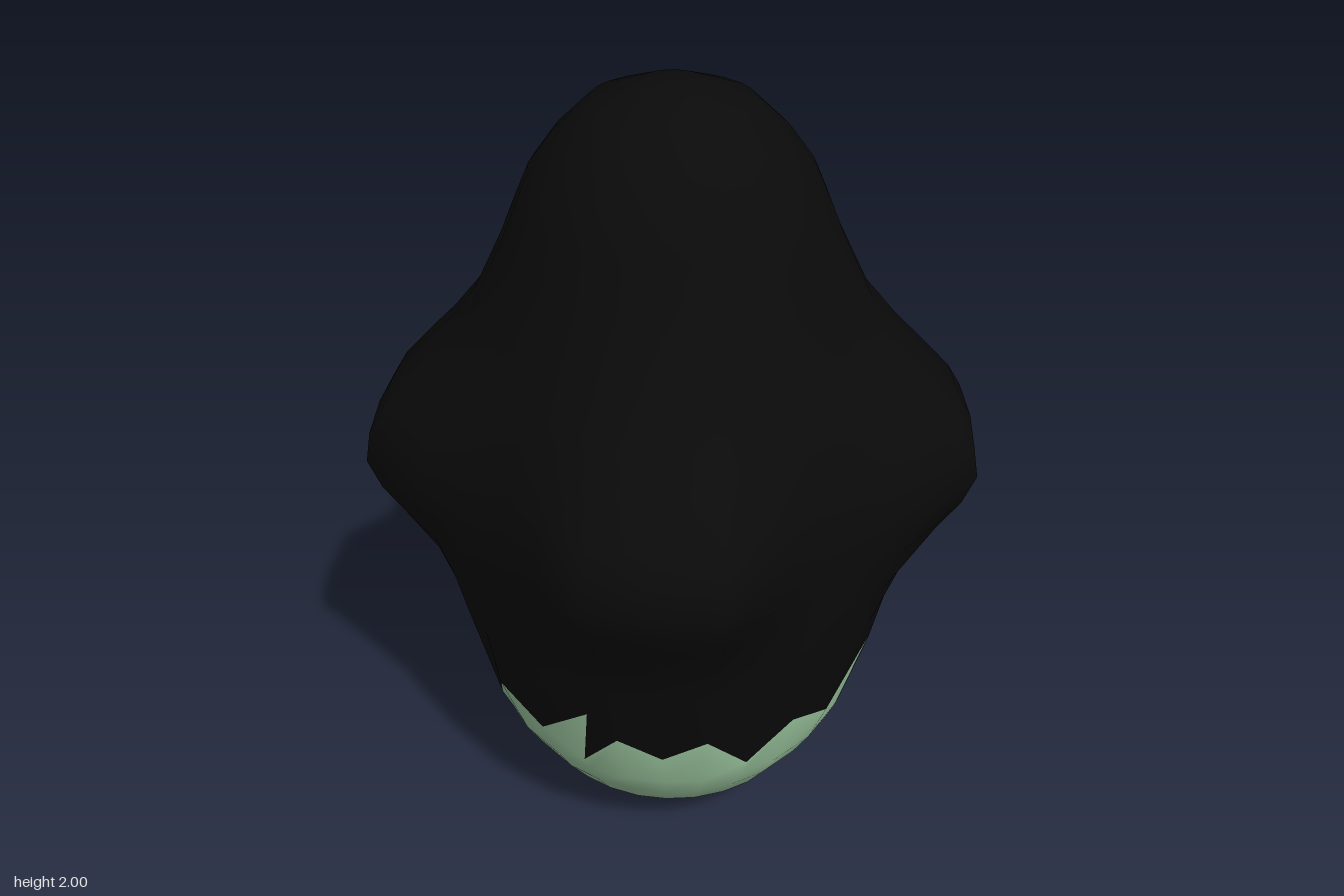
import * as THREE from 'three';
import { mergeVertices } from 'three/addons/utils/BufferGeometryUtils.js';

// Egg profile: [height, radius]
const PROFILE = [
  [0, 0], [0.004, 0.08], [0.04, 0.175], [0.09, 0.27], [0.165, 0.36], [0.25, 0.42], [0.33, 0.466],
  [0.42, 0.505], [0.52, 0.533], [0.6, 0.548], [0.7, 0.562], [0.8, 0.575], [0.92, 0.588], [1.0, 0.592],
  [1.08, 0.59], [1.16, 0.575], [1.22, 0.56], [1.3, 0.532], [1.38, 0.5], [1.48, 0.455], [1.63, 0.4],
  [1.72, 0.365], [1.8, 0.33], [1.88, 0.27], [1.955, 0.19], [1.996, 0.075], [2, 0]];
// Corner bump: [degrees from the diagonal, extra radius]
const BUMP = [[0, 0.17], [12, 0.178], [22, 0.1], [27, 0.047], [37, 0.005], [45, 0]];

const BAND_LOW = 0.33, BAND_HIGH = 0.7;

// Jagged rim height at each column, going round from -82 degrees.
// A tooth that leans is given as [tip angle, tip height, notch angle, notch height].
const RIM = [
  0.455, [-64.4, 0.6, -69.5, 0.38], 0.52, 0.455, 0.52, 0.39, 0.52,
  0.455, [25.6, 0.6, 20.5, 0.38], 0.52, 0.455, 0.52, 0.39, 0.52,
  0.455, 0.455, 0.5, 0.455, 0.5, [154.5, 0.6, 159.5, 0.38], 0.455,
  0.455, 0.39, 0.52, 0.455, 0.52, 0.39, 0.52];
const STEPS = [8, 20, 33, 45, 57, 70, 82];

function lookup(table, v) {
  for (let i = 1; i < table.length; i++) {
    const [a, ra] = table[i - 1], [b, rb] = table[i];
    if (v <= b) return ra + (rb - ra) * (v - a) / (b - a);
  }
  return table[table.length - 1][1];
}

// Point on the shell for an angle in degrees (0 = front) and a height
function shellPoint([angle, y]) {
  const offDiagonal = Math.abs(((angle + 360) % 90) - 45);
  const swell = Math.exp(-(((y - 1.12) / 0.25) ** 2));
  const taper = Math.min(1, lookup(PROFILE, y) / 0.4);
  const r = lookup(PROFILE, y) + lookup(BUMP, offDiagonal) * swell * taper;
  const t = THREE.MathUtils.degToRad(angle);
  return [r * Math.sin(t), y, r * Math.cos(t)];
}

export function createModel() {
  const group = new THREE.Group();
  const lowerColour = new THREE.MeshStandardMaterial({ color: 0xa3cfa6 });
  lowerColour.name = 'pale green';
  const upperColour = new THREE.MeshStandardMaterial({ color: 0x0a0a0a });
  upperColour.name = 'black';

  const lower = [], upper = [];
  const tri = (out, ...corners) => {
    // skip triangles that have collapsed to a line
    const same = (p, q) => p[0] === q[0] && p[1] === q[1];
    const [a, b, c] = corners;
    if (same(a, b) || same(b, c) || same(a, c)) return;
    corners.forEach(p => out.push(...shellPoint(p)));
  };
  const quad = (out, a, b, c, d) => { tri(out, a, b, c); tri(out, a, c, d); };

  // Columns round the shell, each with its rim tip and notch
  const columns = RIM.map((rim, i) => {
    const angle = -90 + 90 * Math.floor(i / 7) + STEPS[i % 7];
    return Array.isArray(rim)
      ? { angle, tip: [rim[0], rim[1]], low: [rim[2], rim[3]] }
      : { angle, tip: [angle, rim], low: [angle, rim] };
  });
  const first = columns[0];
  columns.push({ angle: 278, tip: [278, first.tip[1]], low: [278, first.low[1]] });

  for (let i = 1; i < columns.length; i++) {
    const P = columns[i - 1], Q = columns[i];
    // plain rows below and above the jagged band
    for (let j = 1; j < PROFILE.length; j++) {
      const y0 = PROFILE[j - 1][0], y1 = PROFILE[j][0];
      if (y0 >= BAND_LOW && y1 <= BAND_HIGH) continue;
      const out = y1 <= BAND_LOW ? lower : upper;
      quad(out, [P.angle, y0], [Q.angle, y0], [Q.angle, y1], [P.angle, y1]);
    }
    // jagged band
    quad(lower, [P.angle, BAND_LOW], [Q.angle, BAND_LOW], Q.low, P.low);
    tri(lower, P.low, Q.low, Q.tip);
    tri(upper, P.low, Q.low, P.tip);
    quad(upper, P.tip, Q.tip, [Q.angle, BAND_HIGH], [P.angle, BAND_HIGH]);
  }

  // One smooth skin, coloured by groups
  let geometry = new THREE.BufferGeometry();
  geometry.setAttribute('position', new THREE.Float32BufferAttribute(lower.concat(upper), 3));
  geometry.addGroup(0, lower.length / 3, 0);
  geometry.addGroup(lower.length / 3, upper.length / 3, 1);
  geometry = mergeVertices(geometry, 1e-4);
  geometry.computeVertexNormals();

  const shell = new THREE.Mesh(geometry, [lowerColour, upperColour]);
  shell.name = 'eggShell';
  group.add(shell);
  return group;
}
